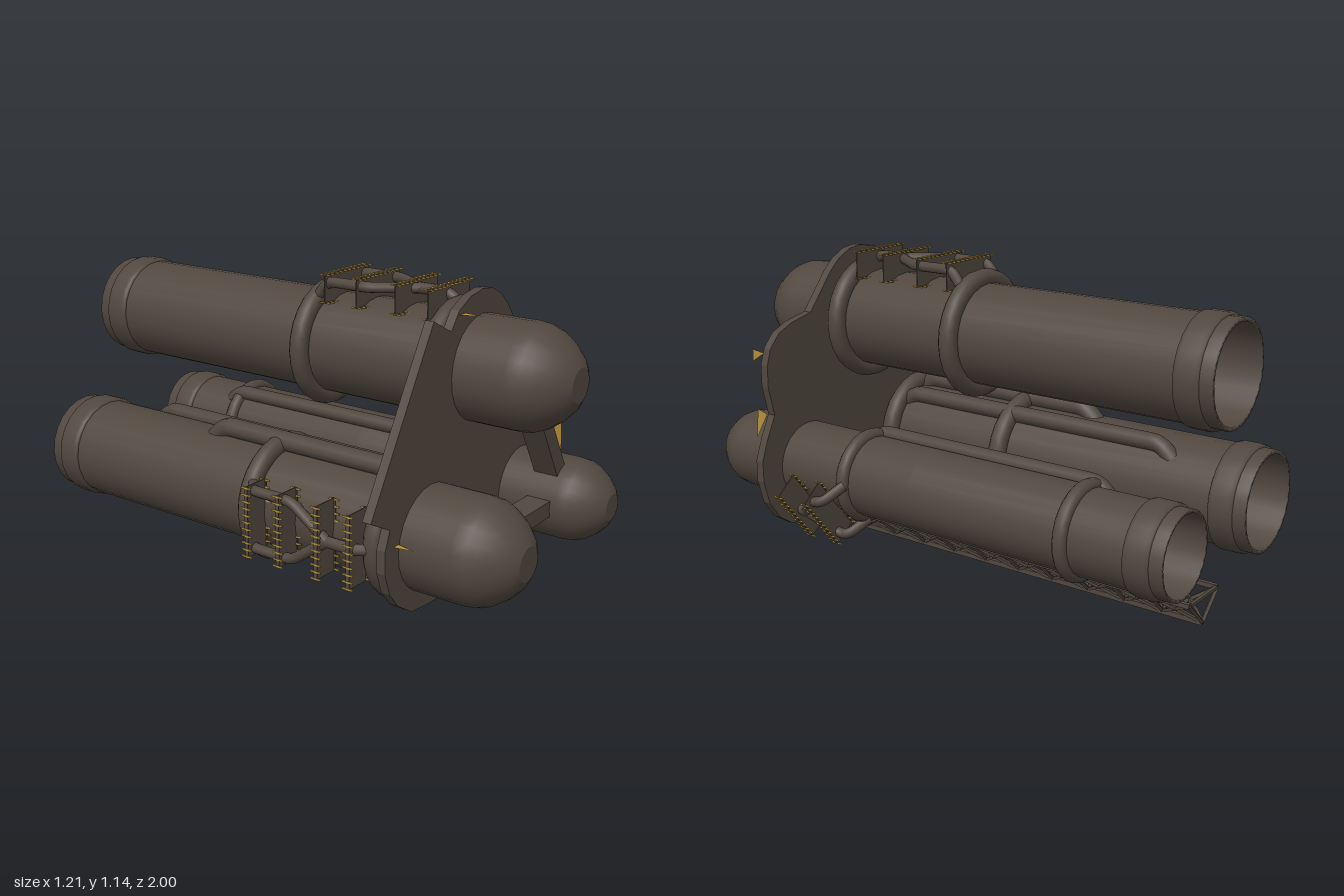
import * as THREE from 'three';

const hull = new THREE.MeshStandardMaterial({ name: 'hullBrown', color: 0x51473f, side: THREE.DoubleSide });
const gold = new THREE.MeshStandardMaterial({ name: 'hazardGold', color: 0xb8923c, side: THREE.DoubleSide });
const V = (x, y, z) => new THREE.Vector3(x, y, z);

export function createModel() {
  const model = new THREE.Group();
  model.name = 'tankCluster';

  const add = (name, geo, mat = hull, parent = model) => {
    const m = new THREE.Mesh(geo, mat);
    m.name = name;
    parent.add(m);
    return m;
  };
  // straight square bar between two points
  const bar = (name, a, b, w, parent, d = w) => {
    const m = add(name, new THREE.BoxGeometry(w, d, a.distanceTo(b)), hull, parent);
    m.position.copy(a).add(b).multiplyScalar(0.5);
    m.quaternion.setFromUnitVectors(V(0, 0, 1), b.clone().sub(a).normalize());
    return m;
  };
  // round pipe with softly bent corners
  const pipe = (name, pts, r, parent) => {
    const path = new THREE.CurvePath();
    let prev = pts[0];
    for (let i = 1; i < pts.length - 1; i++) {
      const p = pts[i], k = 0.03;
      const a = p.clone().add(pts[i - 1].clone().sub(p).setLength(k));
      const b = p.clone().add(pts[i + 1].clone().sub(p).setLength(k));
      path.add(new THREE.LineCurve3(prev, a));
      path.add(new THREE.QuadraticBezierCurve3(a, p, b));
      prev = b;
    }
    path.add(new THREE.LineCurve3(prev, pts[pts.length - 1]));
    add(name, new THREE.TubeGeometry(path, 48, r, 10), hull, parent);
  };
  const lathe = pts => new THREE.LatheGeometry(pts.map(p => new THREE.Vector2(...p)), 24).rotateX(Math.PI / 2);

  // Tanks: domed at the front, hollow and open at the back
  const tanks = [
    { name: 'topTank', x: 0.02, y: 0.88, r: 0.185, rings: [0.545, 0.015], ringR: 0.2, tube: 0.035 },
    { name: 'rightTank', x: -0.27, y: 0.365, r: 0.185, rings: [0.545, 0.015], ringR: 0.2, tube: 0.035 },
    { name: 'leftTank', x: 0.33, y: 0.365, r: 0.15, rings: [0.295, -0.635], ringR: 0.15, tube: 0.026 },
  ];
  const groups = tanks.map(t => {
    const g = new THREE.Group();
    g.name = t.name;
    g.position.set(t.x, t.y, 0);
    model.add(g);
    const r = t.r, d = r / 0.185;
    add('tankShell', lathe([[r * 0.92, -0.7], [r * 0.92, -1], [r, -1], [r, -0.9], [r, 0], [r, 1 - 0.18 * d],
      [r * 0.97, 1 - 0.135 * d], [r * 0.89, 1 - 0.1 * d], [r * 0.72, 1 - 0.055 * d], [r * 0.52, 1 - 0.02 * d], [r * 0.32, 1]]), hull, g);
    add('noseCap', new THREE.CircleGeometry(r * 0.32, 24), hull, g).position.z = 1;
    add('innerBulkhead', new THREE.CircleGeometry(r * 0.92, 24).rotateY(Math.PI), hull, g).position.z = -0.7;
    add('rearBand', lathe([[r, -0.955], [r + 0.008, -0.952], [r + 0.011, -0.94], [r + 0.011, -0.88],
      [r + 0.008, -0.866], [r, -0.862]]), hull, g);
    for (const z of t.rings)
      add('hoopPipe', new THREE.TorusGeometry(t.ringR, t.tube, 12, 28), hull, g).position.z = z;
    return g;
  });

  // Mounting plate
  const outline = [[-0.61, 0.52], [-0.505, 0.465], [-0.53, 0.4], [-0.53, 0.32], [-0.5, 0.24], [-0.45, 0.18], [-0.37, 0.13],
    [-0.27, 0.12], [-0.145, 0.117], [0.05, 0.003], [0.125, 0.127], [0.34, 0.125], [0.44, 0.14], [0.5, 0.18], [0.55, 0.25],
    [0.575, 0.34], [0.575, 0.42], [0.545, 0.5], [0.505, 0.58], [0.53, 0.69], [0.53, 0.77], [0.51, 0.83], [0.465, 0.88],
    [0.4, 0.908], [0.3, 0.93], [0.19, 1.065], [0.14, 1.11], [0.08, 1.14], [0.02, 1.148], [-0.06, 1.135], [-0.13, 1.1],
    [-0.175, 1.04], [-0.28, 1.093]];
  const shape = new THREE.Shape(outline.map(p => new THREE.Vector2(...p)));
  add('mountingPlate', new THREE.ExtrudeGeometry(shape, { depth: 0.033, bevelEnabled: false })).position.z = 0.6;

  // Struts between the noses
  const strut = (a, b) => {
    const len = Math.hypot(b[0] - a[0], b[1] - a[1]);
    const m = add('noseStrut', new THREE.BoxGeometry(len, 0.06, 0.09));
    m.position.set((a[0] + b[0]) / 2, (a[1] + b[1]) / 2, 0.79);
    m.rotation.z = Math.atan2(b[1] - a[1], b[0] - a[0]);
  };
  strut([0.095, 0.75], [0.27, 0.46]);
  strut([-0.12, 0.365], [0.22, 0.365]);

  // Long pipes lying on the tanks
  const longPipe = (x, y, z0, z1, r, drop) =>
    pipe('longPipe', [V(x, y - drop, z0), V(x, y, z0 - drop), V(x, y, z1 + drop), V(x, y - drop, z1)], r);
  longPipe(-0.28, 0.575, 0.54, -0.3, 0.036, 0.055);
  longPipe(-0.165, 0.535, 0.54, -0.68, 0.032, 0.05);
  longPipe(0.255, 0.508, 0.34, -0.68, 0.029, 0.04);

  // Forked pipes and service frames; local +y points away from the tank
  const manifold = (g, o) => {
    const f = new THREE.Group();
    f.name = 'serviceManifold';
    f.rotation.z = o.angle;
    g.add(f);
    const h = o.height;
    pipe('stemPipe', [V(0, h - 0.06, 0.58), V(0, h, 0.5), V(0, h, o.fork)], 0.02, f);
    for (const s of [-1, 1])
      pipe('forkPipe', [V(0, h, o.fork + 0.01), V(s * 0.105, h, o.bend), V(s * 0.105, h, o.end + 0.05),
        V(s * 0.105, o.foot, o.end)], 0.019, f);
    for (const z of o.frames) {
      const top = o.top, low = top - 0.1;
      add('frameWeb', new THREE.BoxGeometry(0.26, 0.1, 0.004), hull, f).position.set(0, top - 0.05, z);
      for (const y of [top, low]) {
        add('frameFlange', new THREE.BoxGeometry(0.26, 0.003, 0.014), hull, f).position.set(0, y, z);
        for (let i = 0; i < 11; i++)
          add('frameMarker', new THREE.BoxGeometry(0.006, 0.005, 0.042), gold, f).position.set(-0.125 + i * 0.025, y, z);
      }
    }
  };
  const four = [0.5, 0.37, 0.21, 0.075];
  manifold(groups[0], { angle: 0, height: 0.238, foot: 0.17, fork: 0.38, bend: 0.24, end: 0.02, top: 0.265, frames: four });
  manifold(groups[1], { angle: Math.PI / 2, height: 0.24, foot: 0.17, fork: 0.38, bend: 0.24, end: 0.02, top: 0.277, frames: four });
  manifold(groups[2], { angle: -2.25, height: 0.21, foot: 0.12, fork: 0.46, bend: 0.37, end: 0.28, top: 0.245, frames: [0.5, 0.37] });

  // Gold warning fins standing on the plate front
  const fin = (a, b, c) => {
    const geo = new THREE.BufferGeometry().setFromPoints([a, b, c]);
    geo.computeVertexNormals();
    add('warningFin', geo, gold);
  };
  fin(V(0.51, 0.81, 0.633), V(0.49, 0.81, 0.715), V(0.49, 0.765, 0.715));
  fin(V(0.51, 0.58, 0.633), V(0.48, 0.58, 0.715), V(0.49, 0.47, 0.715));
  fin(V(0.51, 0.40, 0.633), V(0.51, 0.36, 0.633), V(0.49, 0.36, 0.715));
  fin(V(-0.13, 1.085, 0.633), V(-0.09, 1.085, 0.633), V(-0.095, 1.085, 0.705));
  fin(V(-0.485, 0.4, 0.633), V(-0.455, 0.4, 0.633), V(-0.47, 0.4, 0.705));

  // Triangular lattice girder under the tanks
  const truss = new THREE.Group();
  truss.name = 'latticeGirder';
  model.add(truss);
  const keel = z => V(0.18, 0.085, z), cells = 11, z0 = 0.6, step = 1.595 / cells;
  const rail = (s, z) => V(0.18 + s * 0.095, 0.175, z);
  bar('keelChord', keel(z0), keel(-0.997), 0.018, truss);
  for (const s of [-1, 1]) {
    bar('upperChord', rail(s, z0), rail(s, -0.997), 0.016, truss);
    for (let i = 0; i < cells; i++) {
      const a = z0 - i * step, b = a - step;
      bar('sideBrace', rail(s, a), keel(b), 0.011, truss);
      bar('sideBrace', keel(a), rail(s, b), 0.011, truss);
      bar('sidePost', keel(b), rail(s, b), 0.011, truss);
    }
  }
  for (let i = 0; i <= cells; i++)
    bar('crossTie', rail(-1, z0 - i * step), rail(1, z0 - i * step), 0.011, truss);

  return model;
}
